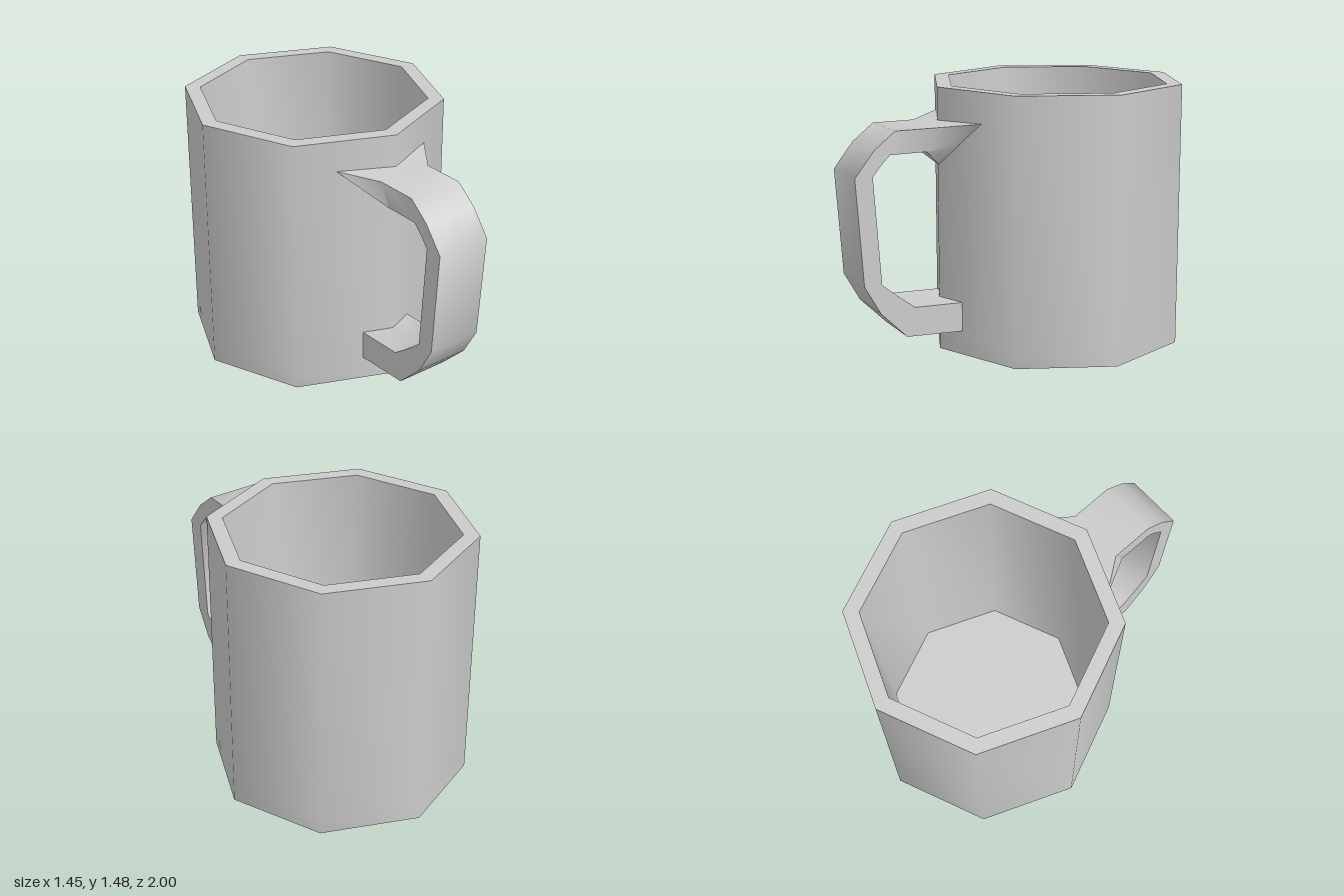
import * as THREE from 'three';
import { toCreasedNormals } from 'three/addons/utils/BufferGeometryUtils.js';

const CREASE = THREE.MathUtils.degToRad(52);
const RADIUS = 0.727, HEIGHT = 1.48, FLOOR = 0.09, AXIS_Z = -0.27;

// Skins a list of equal-length point loops into one surface.
function skin(loops) {
  const n = loops[0].length;
  const index = [];
  for (let i = 0; i < loops.length - 1; i++) {
    for (let j = 0; j < n; j++) {
      const a = i * n + j, b = i * n + (j + 1) % n;
      index.push(a, b, b + n, a, b + n, a + n);
    }
  }
  const geometry = new THREE.BufferGeometry();
  geometry.setAttribute('position', new THREE.Float32BufferAttribute(loops.flat(2), 3));
  geometry.setIndex(index);
  return toCreasedNormals(geometry, CREASE);
}

// Six-point rectangular handle section from its outer and inner [z, y].
function section([oz, oy], [iz, iy], w = 0.16) {
  return [
    [-w, oy, oz], [0, oy, oz], [w, oy, oz],
    [w, iy, iz], [0, iy, iz], [-w, iy, iz],
  ];
}

export function createModel() {
  const group = new THREE.Group();
  const material = new THREE.MeshStandardMaterial({ color: 0xcccccc, side: THREE.DoubleSide });

  // Eight-sided cup: underside, outer wall, rim, tapering inner wall, floor
  const profile = [
    [0, 0], [RADIUS, 0], [RADIUS, FLOOR], [RADIUS, HEIGHT],
    [0.64, HEIGHT], [0.57, FLOOR], [0, FLOOR],
  ].map(([r, y]) => new THREE.Vector2(r, y));
  const cup = new THREE.Mesh(
    toCreasedNormals(new THREE.LatheGeometry(profile, 8), CREASE), material);
  cup.name = 'cup';
  cup.position.z = AXIS_Z;
  group.add(cup);

  // Handle: lower root, bends, grip and upper arm
  const loops = [
    section([0.39, 0.135], [0.39, 0.30]),
    section([0.72, 0.15], [0.67, 0.31]),
    section([0.87, 0.30], [0.77, 0.385]),
    section([0.96, 0.46], [0.86, 0.46]),
    section([1.0, 1.05], [0.90, 1.05]),
    section([0.89, 1.19], [0.85, 1.11]),
    section([0.77, 1.285], [0.80, 1.16]),
    section([0.53, 1.285], [0.59, 1.16]),
  ];
  // Upper root flares into a wide V that follows the two front walls
  loops.push([
    [-0.30, 1.31, 0.33], [0, 1.30, 0.45], [0.30, 1.31, 0.33],
    [0.15, 1.18, 0.39], [0, 1.05, 0.45], [-0.15, 1.18, 0.39],
  ]);
  const handle = new THREE.Mesh(skin(loops), material);
  handle.name = 'handle';
  group.add(handle);

  return group;
}
